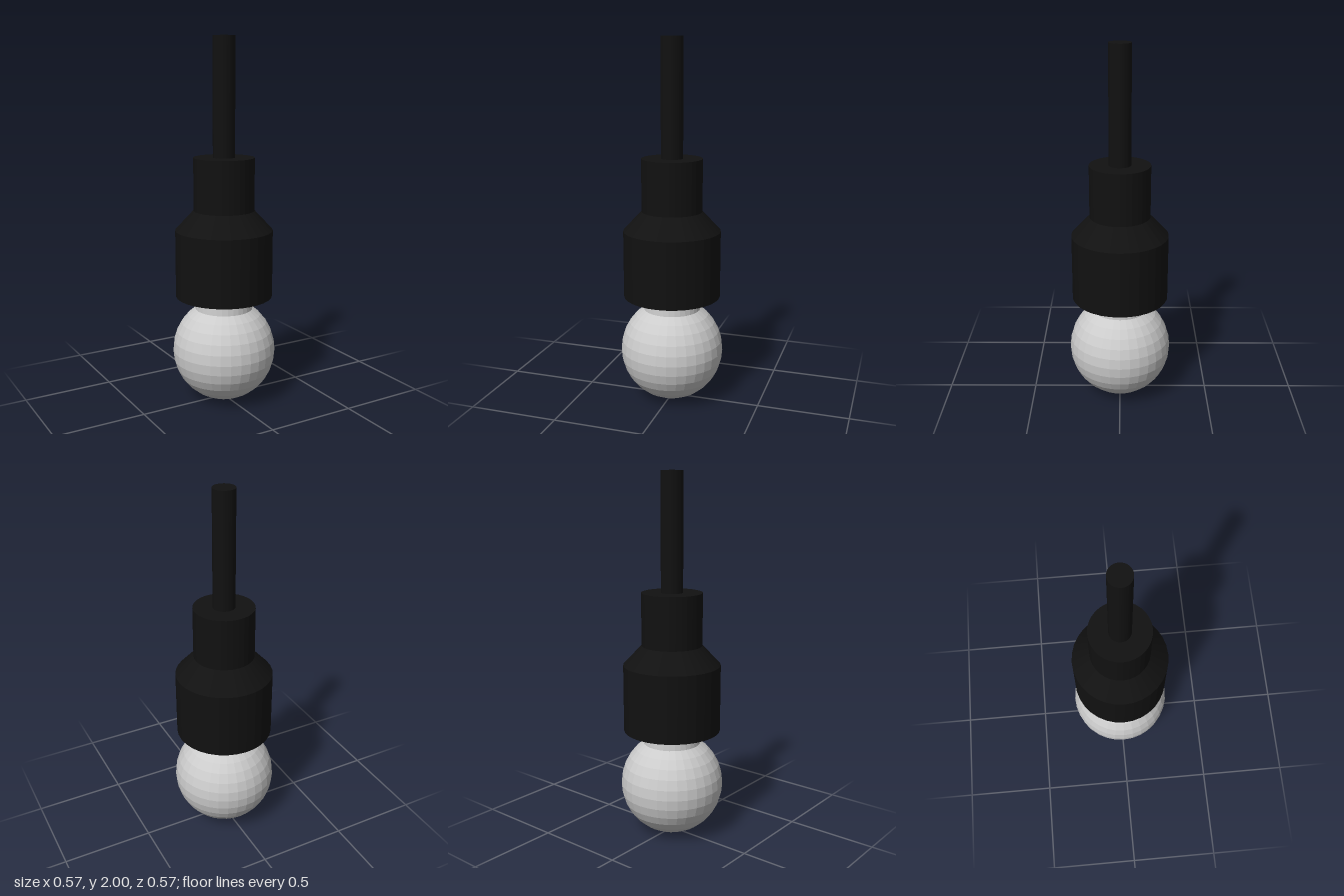
import * as THREE from 'three';

const SEGMENTS = 32;

// Turn a closed [radius, height] profile, listed from bottom to top
function turned(name, profile, color) {
  const points = profile.map(([r, y]) => new THREE.Vector2(r, y));
  const material = new THREE.MeshStandardMaterial({ color, flatShading: true });
  const mesh = new THREE.Mesh(new THREE.LatheGeometry(points, SEGMENTS), material);
  mesh.name = name;
  return mesh;
}

export function createModel() {
  const model = new THREE.Group();
  model.name = 'pendantLamp';
  const black = 0x111111;
  const grey = 0xcccccc;

  // Round bulb: 13 of 16 rings of a sphere, then the neck rising into the socket
  const radius = 0.285;
  const bulbProfile = [];
  for (let i = 0; i <= 13; i++) {
    const a = (i / 16) * Math.PI;
    bulbProfile.push([radius * Math.sin(a), radius * (1 - Math.cos(a))]);
  }
  bulbProfile.push([0.15, 0.61], [0, 0.61]);
  model.add(turned('bulb', bulbProfile, grey));

  // Socket with a sloped shoulder and narrower cap
  model.add(turned('socket', [
    [0, 0.597], [0.267, 0.597], [0.267, 0.967],
    [0.166, 1.075], [0.166, 1.363], [0, 1.363],
  ], black));

  // Hanging cord
  model.add(turned('cord', [[0, 1.36], [0.06, 1.36], [0.06, 2], [0, 2]], black));

  return model;
}
